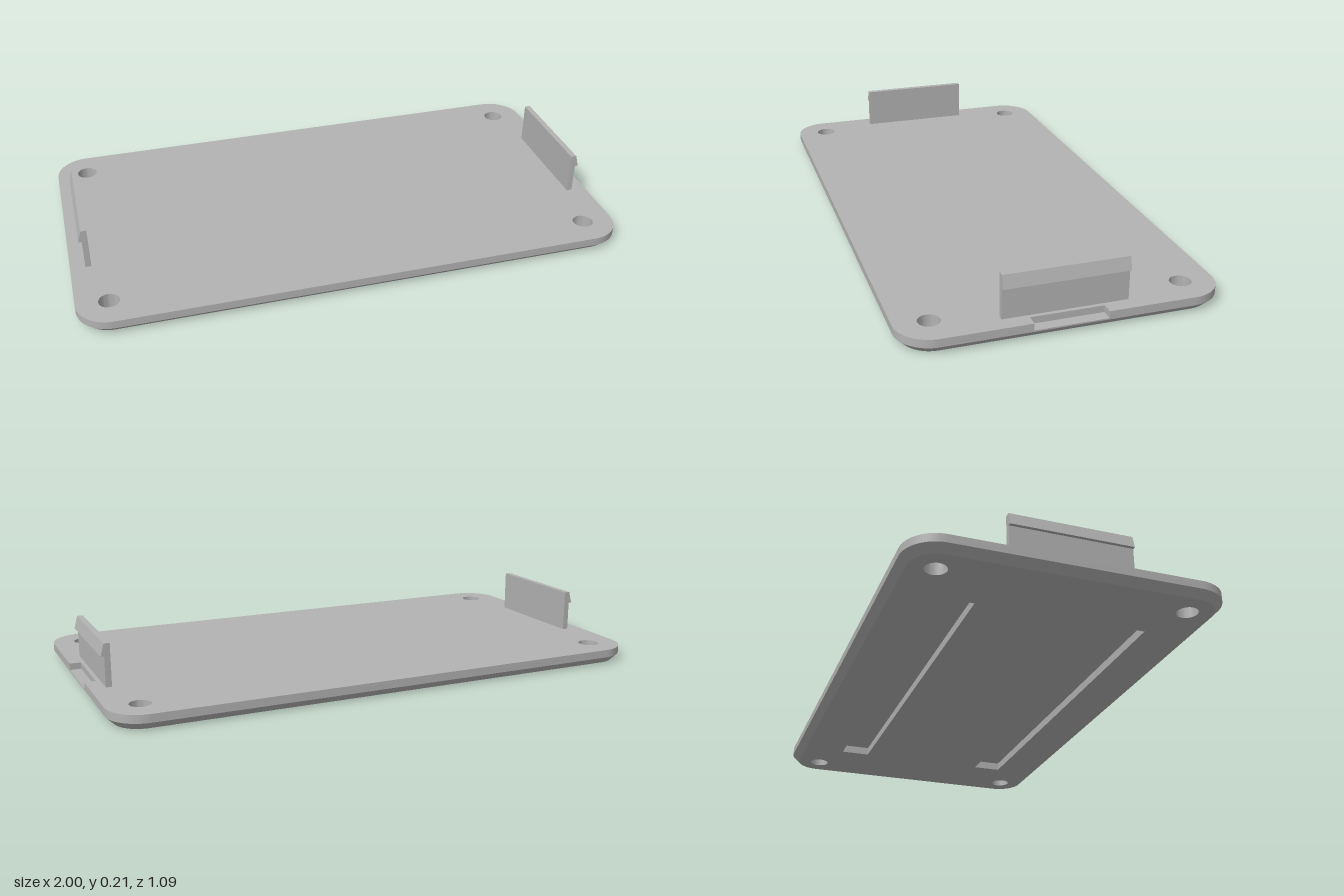
import * as THREE from 'three';
import { toCreasedNormals } from 'three/addons/utils/BufferGeometryUtils.js';

const HALF_X = 1, HALF_Z = 0.543, RADIUS = 0.12;
const CHAMFER = 0.026, THICK = 0.055, NOTCH_Y = 0.031, SLOT_Y = 0.03;

// Counter-clockwise rounded rectangle (plan x, -z)
function roundedRect(inset) {
  const r = RADIUS - inset, cx = HALF_X - RADIUS, cy = HALF_Z - RADIUS, pts = [];
  [[1, -1], [1, 1], [-1, 1], [-1, -1]].forEach(([sx, sy], corner) => {
    for (let i = 0; i <= 12; i++) {
      const a = (corner - 1 + i / 12) * Math.PI / 2;
      pts.push(new THREE.Vector2(sx * cx + r * Math.cos(a), sy * cy + r * Math.sin(a)));
    }
  });
  return pts;
}

const points = list => list.map(([x, y]) => new THREE.Vector2(x, y));

// Clockwise openings
function circle(cx, cy, r) {
  return Array.from({ length: 32 }, (_, i) => {
    const a = -i / 32 * Math.PI * 2;
    return new THREE.Vector2(cx + r * Math.cos(a), cy + r * Math.sin(a));
  });
}
const rect = (x0, x1, y0, y1) => points([[x0, y0], [x0, y1], [x1, y1], [x1, y0]]);

// Band of wall between two matching plan outlines
function wall(low, yLow, high, yHigh) {
  const pos = [];
  low.forEach((p, i) => {
    const j = (i + 1) % low.length;
    const a = [p.x, yLow, -p.y], b = [low[j].x, yLow, -low[j].y];
    const c = [high[j].x, yHigh, -high[j].y], d = [high[i].x, yHigh, -high[i].y];
    pos.push(...a, ...b, ...c, ...a, ...c, ...d);
  });
  const g = new THREE.BufferGeometry();
  g.setAttribute('position', new THREE.Float32BufferAttribute(pos, 3));
  return toCreasedNormals(g, 0.5);
}

// Flat horizontal face with openings
function face(outline, openings, y, down = false) {
  const flip = pts => down ? pts.map(p => new THREE.Vector2(p.x, -p.y)) : pts;
  const shape = new THREE.Shape(flip(outline));
  shape.holes = openings.map(h => new THREE.Path(flip(h)));
  return new THREE.ShapeGeometry(shape).rotateX(down ? Math.PI / 2 : -Math.PI / 2).translate(0, y, 0);
}

export function createModel() {
  const model = new THREE.Group();
  const grey = new THREE.MeshStandardMaterial({ color: 0xb3b3b3 });
  grey.name = 'grey plastic';
  const add = (name, geometry, parent = model) => {
    const mesh = new THREE.Mesh(geometry, grey);
    mesh.name = name;
    parent.add(mesh);
    return mesh;
  };

  // Plate outlines; the top one has a pry notch in its +x edge
  const outer = roundedRect(0), base = roundedRect(CHAMFER);
  const notch = points([[1, -0.125], [0.96, -0.125], [0.96, 0.125], [1, 0.125]]);
  const notched = [...outer.slice(0, 13), ...[], ...outer.slice(13)];
  notched.splice(13, 0, ...notch);

  const holes = [], slots = [];
  for (const s of [-1, 1]) {
    for (const x of [-0.885, 0.885]) holes.push(circle(x, s * 0.427, 0.037));
    slots.push(rect(-0.72, 0.72, s * 0.302 - 0.055, s * 0.302 + 0.055));
  }

  const plate = new THREE.Group();
  plate.name = 'plate';
  model.add(plate);
  add('plateTop', face(notched, holes, THICK), plate);
  add('plateUnderside', face(base, [...holes, ...slots], 0, true), plate);
  add('chamfer', wall(base, 0, outer, CHAMFER), plate);
  add('lowerRim', wall(outer, CHAMFER, outer, NOTCH_Y), plate);
  add('upperRim', wall(notched, NOTCH_Y, notched, THICK), plate);
  add('notchFloor', face(notch.slice().reverse(), [], NOTCH_Y), plate);
  holes.forEach(h => add('screwHole', wall(h, 0, h, THICK), plate));

  // Long recesses in the underside
  slots.forEach(s => {
    add('recessWall', wall(s, 0, s, SLOT_Y), plate);
    add('recessFloor', face(s.slice().reverse(), [], SLOT_Y, true), plate);
  });

  // Snap clips with a wedge-shaped catch on the outside
  const profile = new THREE.Shape(points([
    [0.925, THICK], [0.946, THICK], [0.946, 0.163], [0.958, 0.163], [0.946, 0.208], [0.925, 0.208],
  ]));
  const clip = new THREE.ExtrudeGeometry(profile, { depth: 0.426, bevelEnabled: false }).translate(0, 0, -0.213);
  add('leftClip', clip);
  add('rightClip', clip).rotation.y = Math.PI;
  return model;
}
